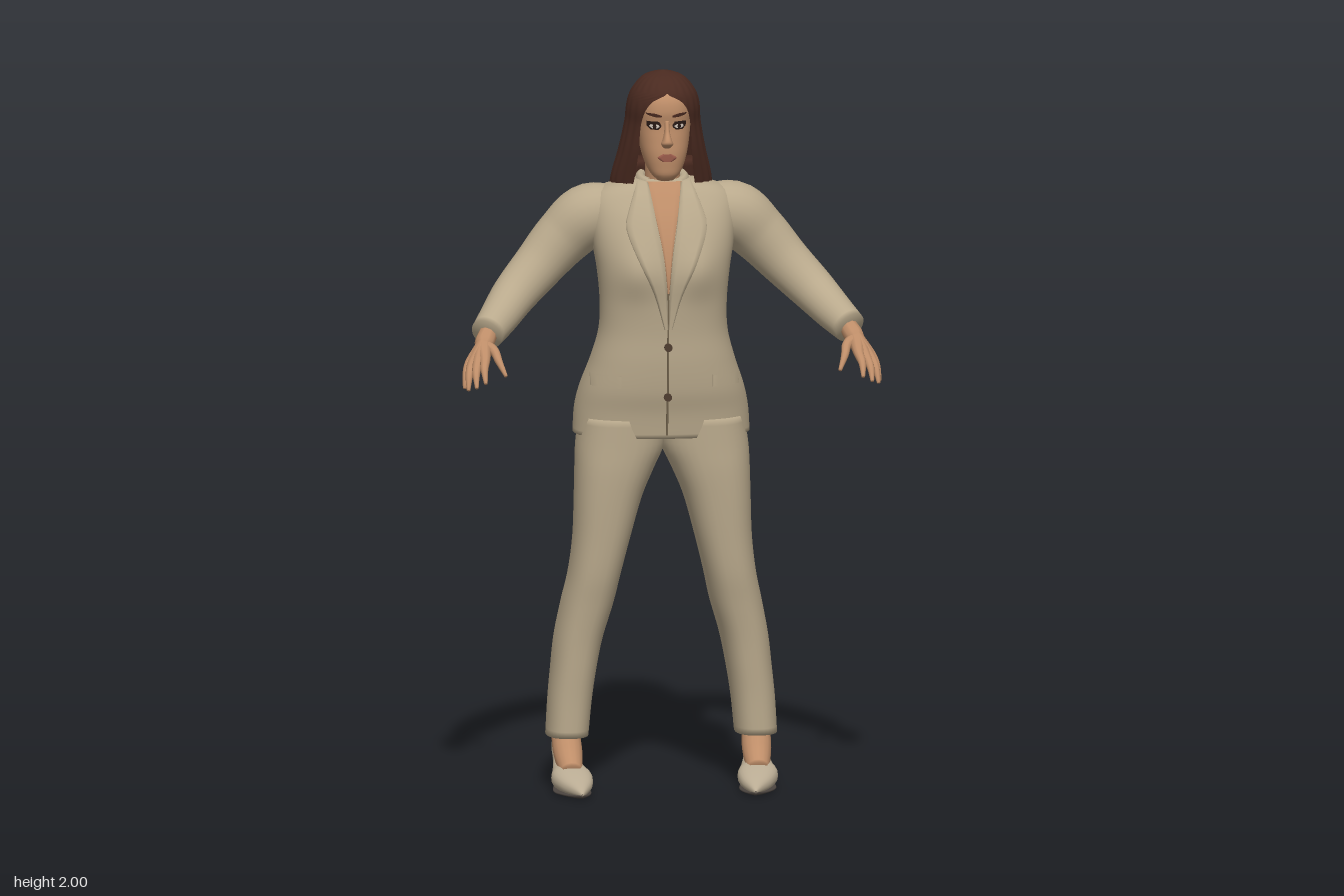
import * as THREE from 'three';

const mat = (name, color, side = THREE.FrontSide) => {
  const m = new THREE.MeshStandardMaterial({ color, side });
  m.name = name;
  return m;
};

// Smooth interpolation through rows of [position, ...values]
function sample(keys, t) {
  let i = 0;
  while (i < keys.length - 2 && t > keys[i + 1][0]) i++;
  const a = keys[i], b = keys[i + 1], p = keys[i - 1] || a, q = keys[i + 2] || b;
  const h = b[0] - a[0], u = Math.min(1, Math.max(0, (t - a[0]) / h));
  return a.slice(1).map((v, k) => {
    const c = k + 1;
    const m0 = (b[c] - p[c]) / (b[0] - p[0]) * h, m1 = (q[c] - a[c]) / (q[0] - a[0]) * h;
    const u2 = u * u, u3 = u2 * u;
    return (2 * u3 - 3 * u2 + 1) * a[c] + (u3 - 2 * u2 + u) * m0 + (3 * u2 - 2 * u3) * b[c] + (u3 - u2) * m1;
  });
}

// Skin a list of rings; closed rings get end caps
function loft(rings, closed = true) {
  const n = rings[0].length, pos = rings.flat(2), idx = [], last = (rings.length - 1) * n;
  for (let i = 0; i < rings.length - 1; i++)
    for (let j = 0; j < (closed ? n : n - 1); j++) {
      const a = i * n + j, b = i * n + (j + 1) % n;
      idx.push(a, b, b + n, a, b + n, a + n);
    }
  if (closed) [0, last].forEach((s, e) => {
    const ring = rings[e ? rings.length - 1 : 0], c = pos.length / 3;
    pos.push(...[0, 1, 2].map(k => ring.reduce((sum, p) => sum + p[k], 0) / n));
    for (let j = 0; j < n; j++) {
      const a = s + j, b = s + (j + 1) % n;
      e ? idx.push(c, a, b) : idx.push(c, b, a);
    }
  });
  const g = new THREE.BufferGeometry();
  g.setAttribute('position', new THREE.Float32BufferAttribute(pos, 3));
  g.setIndex(idx);
  g.computeVertexNormals();
  return g;
}

const EXP = 2.4;
const pw = (v, e) => Math.sign(v) * Math.abs(v) ** e;
const steps = (keys, n) => Array.from({ length: n + 1 }, (_, i) => keys[0][0] + (keys.at(-1)[0] - keys[0][0]) * i / n);
const circle = n => Array.from({ length: n }, (_, j) => j / n * Math.PI * 2);

// Upright form from rows of [y, xMin, xMax, zFront, zBack]
function upright(keys, n = 40, rows = 40, shape = p => p) {
  return loft(steps(keys, rows).map(y => {
    const [x0, x1, zf, zb] = sample(keys, y);
    return circle(n).map(a => shape([(x0 + x1) / 2 + (x1 - x0) / 2 * pw(Math.sin(a), 2 / EXP), y,
      (zf + zb) / 2 + (zf - zb) / 2 * pw(Math.cos(a), 2 / EXP)], Math.cos(a), a));
  }));
}
const sym = rows => rows.map(([y, h, f, b]) => [y, -h, h, f, b]);

// Thin panel lying on an upright form; rows of [y, xa, xb], bottom up
function panel(keys, rows, lift = 0.005, sign = 1, bump = () => 0) {
  return loft(steps(rows, 16).map(y => {
    let [xa, xb] = sample(rows, y);
    if (sign < 0) [xa, xb] = [xb, xa];
    const [x0, x1, zf, zb] = sample(keys, y);
    return [0, 0.02, 0.2, 0.4, 0.6, 0.8, 0.98, 1].map((u, k) => {
      const x = xa + (xb - xa) * u;
      const d = Math.max(0, 1 - Math.abs((2 * x - x0 - x1) / (x1 - x0)) ** EXP) ** (1 / EXP);
      const z = (zf + zb) / 2 + sign * (zf - zb) / 2 * d + bump(x, y);
      return [x, y, z + sign * (k % 7 ? lift : -0.002)];
    });
  }), false);
}

// Round limb along points with a radius at each point
function limb(points, radii, n = 16, rows = 24) {
  const curve = new THREE.CatmullRomCurve3(points.map(p => new THREE.Vector3(...p)));
  const f = curve.computeFrenetFrames(rows), keys = radii.map((r, i) => [i / (radii.length - 1), r]);
  return loft(f.tangents.map((_, i) => {
    const c = curve.getPointAt(i / rows), [r] = sample(keys, curve.getUtoTmapping(i / rows));
    return circle(n).map(a => c.clone().addScaledVector(f.normals[i], r * Math.cos(a))
      .addScaledVector(f.binormals[i], r * Math.sin(a)).toArray());
  }));
}

function mirrored(geo) {
  const g = geo.clone().scale(-1, 1, 1), ix = g.index.array;
  for (let i = 0; i < ix.length; i += 3) [ix[i], ix[i + 1]] = [ix[i + 1], ix[i]];
  return g;
}

export function createModel() {
  const root = new THREE.Group();
  const suit = mat('suit beige', 0xb9a98c), skin = mat('skin', 0xbf8e69), hair = mat('dark brown hair', 0x4a2a20, THREE.DoubleSide);
  const leather = mat('shoe beige', 0xb8aa92), sole = mat('sole dark grey', 0x4b443f), dark = mat('eye dark', 0x2a1b17);
  const white = mat('eye white', 0xd8cdc2), lip = mat('lip', 0x9c5c4c), button = mat('button brown', 0x4f3d30), seam = mat('seam shade', 0x75664f);
  const add = (name, geo, m) => {
    const mesh = new THREE.Mesh(geo, m);
    mesh.name = name;
    root.add(mesh);
  };
  const pair = (name, geo, m) => { add(name + 'Left', geo, m); add(name + 'Right', mirrored(geo), m); };

  // Jacket body
  const torso = sym([[0.99, 0.243, 0.053, -0.25], [1.06, 0.238, 0.062, -0.26], [1.12, 0.225, 0.075, -0.245],
    [1.2, 0.198, 0.082, -0.207], [1.28, 0.177, 0.083, -0.18], [1.36, 0.174, 0.088, -0.174], [1.45, 0.182, 0.094, -0.182],
    [1.53, 0.195, 0.078, -0.19], [1.6, 0.2, 0.05, -0.19], [1.65, 0.19, 0.02, -0.18], [1.68, 0.15, 0, -0.165], [1.7, 0.06, -0.015, -0.13]]);
  const bust = (x, y) => 0.016 * Math.exp(-(((Math.abs(x) - 0.085) / 0.05) ** 2) - ((y - 1.46) / 0.07) ** 2);
  add('jacket', upright(torso, 56, 60, (p, c) => [p[0], p[1], p[2] + (c > 0 ? bust(p[0], p[1]) : 0)]), suit);
  const onJacket = (rows, lift, sign = 1) => panel(torso, rows, lift, sign, sign > 0 ? bust : undefined);
  add('neckline', onJacket([[1.4, -0.002, 0.002], [1.5, -0.012, 0.012], [1.6, -0.03, 0.03], [1.695, -0.05, 0.05]], 0.004), skin);
  pair('lapel', onJacket([[1.3, 0.001, 0.01], [1.4, 0.003, 0.04], [1.5, 0.012, 0.085], [1.58, 0.026, 0.112],
    [1.63, 0.034, 0.1], [1.695, 0.045, 0.075]], 0.012), suit);
  pair('pocketFlap', onJacket([[1.135, 0.125, 0.205], [1.168, 0.125, 0.205]], 0.009), suit);
  add('frontOpening', onJacket([[1, -0.003, 0.003], [1.4, -0.002, 0.002]], 0.003), seam);
  add('backVent', onJacket([[0.995, -0.006, 0.006], [1.14, -0.001, 0.001]], 0.003, -1), seam);
  [[1.25, 0.09], [1.11, 0.078]].forEach(([y, z]) =>
    add('jacketButton', new THREE.CylinderGeometry(0.011, 0.011, 0.012, 16).rotateX(Math.PI / 2).translate(0, y, z), button));
  // Collar standing around the neck
  const collar = new THREE.TorusGeometry(0.06, 0.015, 10, 28, Math.PI * 1.5).rotateZ(-Math.PI / 4);
  collar.rotateX(-Math.PI / 2).scale(1, 1.5, 1).rotateX(0.2).translate(0, 1.69, -0.07);
  collar.rotateY(0);
  add('collar', collar, suit);

  // Sleeves and cuff buttons
  pair('sleeve', limb([[0.13, 1.6, -0.09], [0.2, 1.59, -0.095], [0.27, 1.53, -0.1], [0.34, 1.455, -0.082], [0.41, 1.385, -0.035],
    [0.46, 1.335, 0.035], [0.5, 1.298, 0.092]], [0.075, 0.088, 0.08, 0.07, 0.062, 0.054, 0.046], 24, 36), suit);
  for (let i = 0; i < 3; i++)
    pair('cuffButton', new THREE.SphereGeometry(0.007, 10, 8).translate(0.497 + i * 0.012, 1.315 - i * 0.011, 0.014 + i * 0.018), button);

  // Hands: each finger runs from the wrist so that together they form the palm
  const fingers = [
    [[0.553, 1.228, 0.148], [0.572, 1.165, 0.19]], [[0.549, 1.226, 0.168], [0.565, 1.165, 0.225]],
    [[0.535, 1.23, 0.18], [0.545, 1.175, 0.25]], [[0.515, 1.24, 0.182], [0.52, 1.187, 0.25]], [[0.487, 1.26, 0.145], [0.46, 1.2, 0.212]]];
  fingers.forEach(([k, t], i) => {
    const mid = k.map((v, c) => (v + t[c]) / 2 + (c === 1 ? 0.006 : 0.003));
    pair(i < 4 ? 'finger' : 'thumb', limb([[0.495, 1.3, 0.085], [0.512, 1.272, 0.125], k, mid, t],
      [0.026, 0.024, 0.0145, 0.0105, 0.005], 10, 20), skin);
  });

  // Trouser legs
  pair('trouserLeg', upright([[0.15, 0.202, 0.318, -0.005, -0.185], [0.25, 0.192, 0.312, -0.004, -0.19], [0.33, 0.18, 0.304, 0, -0.205],
    [0.42, 0.162, 0.294, 0.006, -0.214], [0.52, 0.133, 0.275, 0.018, -0.206], [0.6, 0.115, 0.258, 0.03, -0.19], [0.7, 0.09, 0.246, 0.038, -0.18],
    [0.82, 0.056, 0.242, 0.046, -0.185], [0.9, 0.022, 0.24, 0.05, -0.195], [0.96, -0.005, 0.237, 0.05, -0.21], [1.04, -0.01, 0.225, 0.05, -0.23]], 32, 50), suit);

  // Feet and heeled shoes
  pair('foot', limb([[0.262, 0.24, -0.1], [0.262, 0.15, -0.1], [0.26, 0.1, -0.065], [0.257, 0.055, 0]], [0.042, 0.04, 0.04, 0.03]), skin);
  // rows of [z, xCentre, halfWidth, yBottom, yTop]
  const shoe = [[-0.188, 0.264, 0.01, 0.1, 0.142], [-0.165, 0.264, 0.03, 0.08, 0.142], [-0.1, 0.262, 0.035, 0.055, 0.1],
    [-0.045, 0.259, 0.046, 0.02, 0.082], [0, 0.256, 0.056, 0.006, 0.075], [0.05, 0.249, 0.044, 0.005, 0.056],
    [0.09, 0.242, 0.019, 0.006, 0.034], [0.112, 0.239, 0.003, 0.01, 0.018]];
  const lengthwise = keys => loft(steps(keys, 30).map(z => {
    const [x, w, y0, y1] = sample(keys, z);
    return circle(24).map(a => [x + w * pw(Math.cos(a), 0.85), (y0 + y1) / 2 + (y1 - y0) / 2 * pw(Math.sin(a), 0.85), z]);
  }));
  pair('shoe', lengthwise(shoe), leather);
  pair('sole', lengthwise(shoe.map(([z, x, w, y]) => [z, x, w * 0.92, Math.max(0, y - 0.005), y + 0.007])), sole);
  pair('heel', new THREE.CylinderGeometry(0.02, 0.006, 0.1, 12).translate(0.263, 0.05, -0.166), leather);

  // Neck, head and face
  add('neck', limb([[0, 1.58, -0.085], [0, 1.67, -0.065], [0, 1.77, -0.05]], [0.06, 0.05, 0.048], 24), skin);
  const head = sym([[1.705, 0.022, 0.038, -0.01], [1.72, 0.038, 0.052, -0.04], [1.745, 0.052, 0.057, -0.08], [1.78, 0.063, 0.06, -0.11],
    [1.82, 0.07, 0.057, -0.13], [1.86, 0.074, 0.054, -0.14], [1.9, 0.075, 0.059, -0.14], [1.94, 0.068, 0.048, -0.13], [1.975, 0.045, 0.01, -0.1]]);
  add('head', upright(head, 40, 40), skin);
  add('nose', upright(sym([[1.8, 0.011, 0.065, 0.03], [1.812, 0.017, 0.083, 0.03], [1.822, 0.013, 0.084, 0.03],
    [1.845, 0.008, 0.07, 0.03], [1.875, 0.007, 0.058, 0.03]]), 20, 20), skin);
  pair('eyeLashes', panel(head, [[1.85, 0.024, 0.044], [1.86, 0.015, 0.054], [1.873, 0.022, 0.054]], 0.003), dark);
  pair('eye', panel(head, [[1.854, 0.026, 0.042], [1.859, 0.02, 0.048], [1.865, 0.026, 0.044]], 0.005), white);
  pair('iris', panel(head, [[1.853, 0.031, 0.037], [1.859, 0.029, 0.039], [1.866, 0.031, 0.037]], 0.006), dark);
  pair('eyebrow', panel(head, [[1.885, 0.015, 0.03], [1.89, 0.016, 0.05], [1.896, 0.036, 0.058]], 0.003), hair);
  add('lips', panel(head, [[1.762, -0.012, 0.012], [1.773, -0.026, 0.026], [1.784, -0.01, 0.01]], 0.007), lip);

  // Hair around the face: rows of [y, halfWidth, zFront, zBack, half opening angle]
  const crown = [[1.65, 0.14, -0.01, -0.207, 0.75], [1.7, 0.137, 0.005, -0.2, 0.65], [1.78, 0.118, 0.035, -0.185, 0.68], [1.86, 0.103, 0.052, -0.172, 0.73],
    [1.9, 0.1, 0.064, -0.164, 0.62], [1.93, 0.094, 0.064, -0.154, 0.4], [1.95, 0.085, 0.058, -0.145, 0], [1.975, 0.065, 0.036, -0.123, 0], [1.99, 0.042, 0.008, -0.1, 0], [2, 0.001, -0.045, -0.047, 0]];
  add('hairCrown', loft(steps(crown, 50).map(y => {
    const [w, zf, zb, gap] = sample(crown, y), g = Math.max(0, gap);
    return Array.from({ length: 97 }, (_, j) => {
      const a = g + (Math.PI * 2 - g * 2) * j / 96, r = 1 + 0.012 * Math.cos(a * 22);
      return [w * r * Math.sin(a), y, (zf + zb) / 2 + (zf - zb) / 2 * r * Math.cos(a)];
    });
  }), false), hair);

  // Long hair down the back with a ragged lower end
  const mane = sym([[1.2, 0.118, -0.17, -0.222], [1.35, 0.128, -0.15, -0.217], [1.55, 0.137, -0.14, -0.215], [1.66, 0.138, -0.1, -0.207], [1.74, 0.118, -0.08, -0.19]]);
  add('hairLength', upright(mane, 96, 30, (p, c, a) => [p[0],
    p[1] + (p[1] < 1.25 ? (1.25 - p[1]) * 0.35 * (1 + Math.sin(a * 17) * Math.cos(a * 5)) : 0), p[2] + 0.003 * Math.cos(a * 24)]), hair);
  add('hairParting', panel(mane, [[1.49, -0.004, 0.004], [1.53, -0.014, 0.014], [1.56, -0.024, 0.022], [1.575, -0.012, 0.012]], 0.006, -1), suit);
  return root;
}
